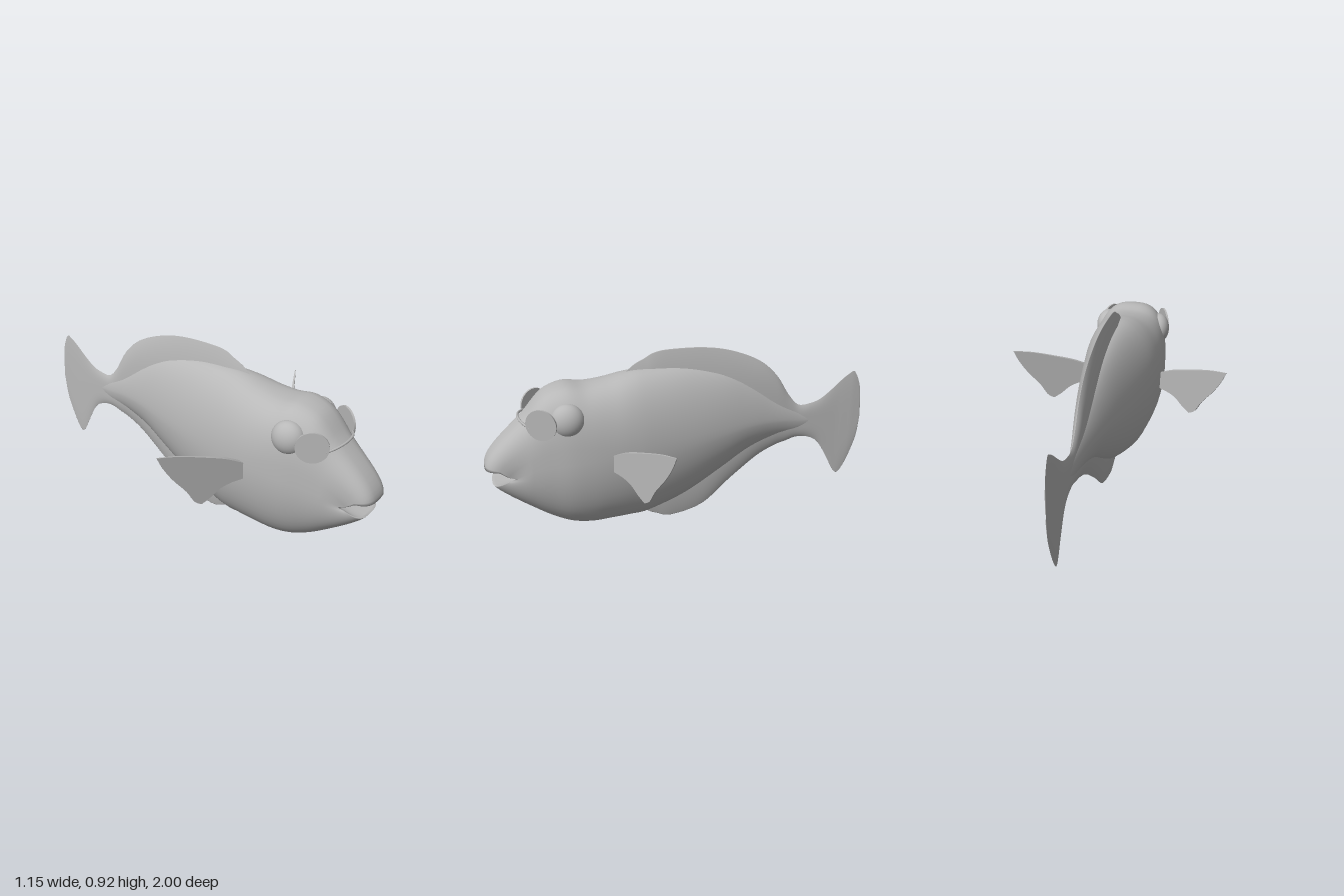
import * as THREE from 'three';

const grey = new THREE.MeshStandardMaterial({ color: 0xb8b8b8 });
grey.name = 'grey';
const SIDES = 48;

// Smooth interpolation through table rows, t in 0..1
function rowAt(rows, t) {
  const f = t * (rows.length - 1);
  const i = Math.min(Math.floor(f), rows.length - 2);
  const u = f - i;
  const r = (k) => rows[Math.max(0, Math.min(rows.length - 1, k))];
  return rows[i].map((b, k) => {
    const a = r(i - 1)[k], c = r(i + 1)[k], d = r(i + 2)[k];
    return b + 0.5 * u * (c - a + u * (2 * a - 5 * b + 4 * c - d + u * (3 * (b - c) + d - a)));
  });
}

// Skin over closed rings of points that run towards +z
function loft(rings) {
  const pos = [], index = [];
  rings.forEach((ring) => ring.forEach((p) => pos.push(p.x, p.y, p.z)));
  for (let i = 0; i < rings.length - 1; i++) {
    for (let j = 0; j < SIDES; j++) {
      const a = i * SIDES + j, b = i * SIDES + (j + 1) % SIDES;
      index.push(a, b, a + SIDES, b, b + SIDES, a + SIDES);
    }
  }
  const g = new THREE.BufferGeometry();
  g.setAttribute('position', new THREE.Float32BufferAttribute(pos, 3));
  g.setIndex(index);
  g.computeVertexNormals();
  return g;
}

const ringOf = (fn) => Array.from({ length: SIDES }, (_, j) => fn((j / SIDES) * Math.PI * 2));
const power = (v, p) => (Math.abs(v) < 1e-9 ? 0 : Math.sign(v) * Math.abs(v) ** p);

// Body stations: z, top, widest height, bottom, half width, upper and lower roundness
const BODY = [
  [-0.78, 0.47, 0.46, 0.45, 0.003, 1.2, 1.2],
  [-0.65, 0.52, 0.465, 0.41, 0.015, 1.2, 1.2],
  [-0.5, 0.61, 0.49, 0.39, 0.042, 1.2, 1.2],
  [-0.35, 0.71, 0.5, 0.34, 0.076, 1.2, 1.2],
  [-0.2, 0.78, 0.49, 0.25, 0.11, 1.15, 1.15],
  [0, 0.825, 0.47, 0.135, 0.152, 1.1, 1.1],
  [0.2, 0.835, 0.46, 0.068, 0.188, 1, 1],
  [0.3, 0.825, 0.46, 0.058, 0.2, 0.92, 1],
  [0.4, 0.803, 0.46, 0.053, 0.205, 0.85, 1],
  [0.5, 0.79, 0.46, 0.05, 0.203, 0.75, 1],
  [0.6, 0.8, 0.45, 0.068, 0.192, 0.7, 1],
  [0.7, 0.765, 0.44, 0.117, 0.168, 0.7, 0.97],
  [0.78, 0.68, 0.42, 0.172, 0.147, 0.7, 0.92],
];

function bodyPoint(t, a) {
  const [z, top, mid, bottom, w, pTop, pBottom] = rowAt(BODY, t);
  const c = Math.cos(a), s = Math.sin(a);
  const p = s >= 0 ? pTop : pBottom;
  return new THREE.Vector3(w * power(c, p), mid + (s >= 0 ? top - mid : mid - bottom) * power(s, p), z);
}

// Edge of the open mouth: upper lip for the upper half, lower lip for the rest
function lipPoint(a) {
  const c = Math.cos(a), s = Math.sin(a), k = Math.abs(s);
  return new THREE.Vector3(
    0.11 * power(c, 0.6),
    s >= 0 ? 0.378 + 0.04 * Math.min(1, k * 2.5) : 0.378 - 0.043 * power(k, 0.8),
    0.86 + (s >= 0 ? 0.14 : 0.11) * power(k, 0.7));
}

// Snout: each lengthwise line bends from the head to the lip
function snoutPoint(u, a) {
  const start = bodyPoint(1, a), end = lipPoint(a), s = Math.sin(a);
  const t0 = start.clone().sub(bodyPoint(0.985, a)).normalize().multiplyScalar(start.distanceTo(end) * 0.8);
  const t1 = s >= 0 ? new THREE.Vector3(0, -0.25 * s, 0) : new THREE.Vector3(0, -0.09 * s, -0.05 * s);
  const u2 = u * u, u3 = u2 * u;
  return start.multiplyScalar(2 * u3 - 3 * u2 + 1).addScaledVector(t0, u3 - 2 * u2 + u)
    .addScaledVector(end, 3 * u2 - 2 * u3).addScaledVector(t1, u3 - u2);
}

function bodyGeometry() {
  const rings = [];
  for (let i = 0; i <= 60; i++) rings.push(ringOf((a) => bodyPoint(i / 60, a)));
  for (let i = 1; i <= 14; i++) rings.push(ringOf((a) => snoutPoint(i / 14, a)));
  // Mouth cavity: depth back from the lip, width, height
  for (const [back, wide, high] of [[0.12, 0.95, 1], [0.5, 0.9, 0.85], [1, 0.85, 0.6], [1.1, 0.8, 0]]) {
    rings.push(ringOf((a) => {
      const p = lipPoint(a);
      return p.set(p.x * wide, 0.38 + (p.y - 0.38) * high, p.z + (0.845 - p.z) * back);
    }));
  }
  return loft(rings);
}

// Blade of dorsal, belly and tail fin: z, top, bottom, half thickness
const BLADE = [
  [-1, 0.47, 0.44, 0.002], [-0.99, 0.6, 0.34, 0.003], [-0.97, 0.67, 0.27, 0.004],
  [-0.945, 0.71, 0.205, 0.005], [-0.92, 0.7, 0.155, 0.005], [-0.89, 0.68, 0.12, 0.005],
  [-0.86, 0.655, 0.145, 0.005], [-0.82, 0.62, 0.22, 0.006], [-0.76, 0.575, 0.32, 0.008],
  [-0.7, 0.555, 0.36, 0.01], [-0.63, 0.555, 0.37, 0.013], [-0.57, 0.62, 0.355, 0.018],
  [-0.5, 0.73, 0.335, 0.024], [-0.4, 0.82, 0.285, 0.028], [-0.25, 0.885, 0.17, 0.03],
  [-0.1, 0.915, 0.045, 0.03], [0.07, 0.92, 0.003, 0.03], [0.15, 0.91, 0.025, 0.03],
  [0.2, 0.885, 0.05, 0.028], [0.25, 0.86, 0.1, 0.022], [0.3, 0.82, 0.15, 0.008],
];

function bladeGeometry() {
  const rings = [];
  for (let i = 0; i <= 100; i++) {
    const [z, top, bottom, h] = rowAt(BLADE, i / 100);
    rings.push(ringOf((a) => {
      const v = Math.sin(a);
      return new THREE.Vector3(Math.sign(Math.cos(a)) * h * (1 - v ** 4),
        (top + bottom) / 2 + (v * (top - bottom)) / 2, z);
    }));
  }
  return loft(rings);
}

// Side fin lying along +x, thinning towards its tip
function sideFinGeometry() {
  const s = new THREE.Shape();
  s.moveTo(-0.04, 0.47);
  s.lineTo(-0.04, 0.4);
  s.lineTo(0, 0.397);
  s.splineThru([[0.06, 0.39], [0.115, 0.372], [0.165, 0.335], [0.209, 0.31]].map((p) => new THREE.Vector2(...p)));
  s.splineThru([[0.245, 0.335], [0.285, 0.4], [0.35, 0.48], [0.395, 0.55], [0.423, 0.612]].map((p) => new THREE.Vector2(...p)));
  s.splineThru([[0.32, 0.595], [0.2, 0.562], [0.09, 0.527], [0, 0.485]].map((p) => new THREE.Vector2(...p)));
  const g = new THREE.ExtrudeGeometry(s, { depth: 0.024, bevelEnabled: false, curveSegments: 20 });
  const pos = g.attributes.position;
  for (let i = 0; i < pos.count; i++) pos.setZ(i, (pos.getZ(i) - 0.012) * (1 - 1.9 * pos.getX(i)));
  g.computeVertexNormals();
  return g;
}

export function createModel() {
  const model = new THREE.Group();
  model.name = 'fish';
  const add = (name, geometry, x = 0, y = 0, z = 0) => {
    const m = new THREE.Mesh(geometry, grey);
    m.name = name;
    m.position.set(x, y, z);
    model.add(m);
    return m;
  };

  add('body', bodyGeometry());
  add('dorsalBellyAndTailFin', bladeGeometry());

  const finGeo = sideFinGeometry();
  const eyeGeo = new THREE.SphereGeometry(0.08, 32, 24);
  const lensGeo = new THREE.CylinderGeometry(0.076, 0.076, 0.01, 40).rotateZ(Math.PI / 2);
  for (const [side, k] of [['left', 1], ['right', -1]]) {
    add(side + 'SideFin', finGeo, 0.2 * k, 0, 0.395).rotation.y = k > 0 ? 0.479 : Math.PI - 0.479;
    const eye = add(side + 'Eye', eyeGeo, 0.145 * k, 0.663, 0.603);
    eye.scale.set(0.75, 1.03, 1);
    eye.rotation.y = -0.2 * k;
    add(side + 'Lens', lensGeo, 0.152 * k, 0.657, 0.728).rotation.y = -0.51 * k;
  }

  // Wire joining the two lenses over the snout
  const wire = new THREE.CatmullRomCurve3([[-0.125, 0.638, 0.78], [-0.07, 0.65, 0.81], [0, 0.655, 0.822],
    [0.07, 0.65, 0.81], [0.125, 0.638, 0.78]].map((p) => new THREE.Vector3(...p)));
  add('lensBridge', new THREE.TubeGeometry(wire, 32, 0.006, 8));

  return model;
}
